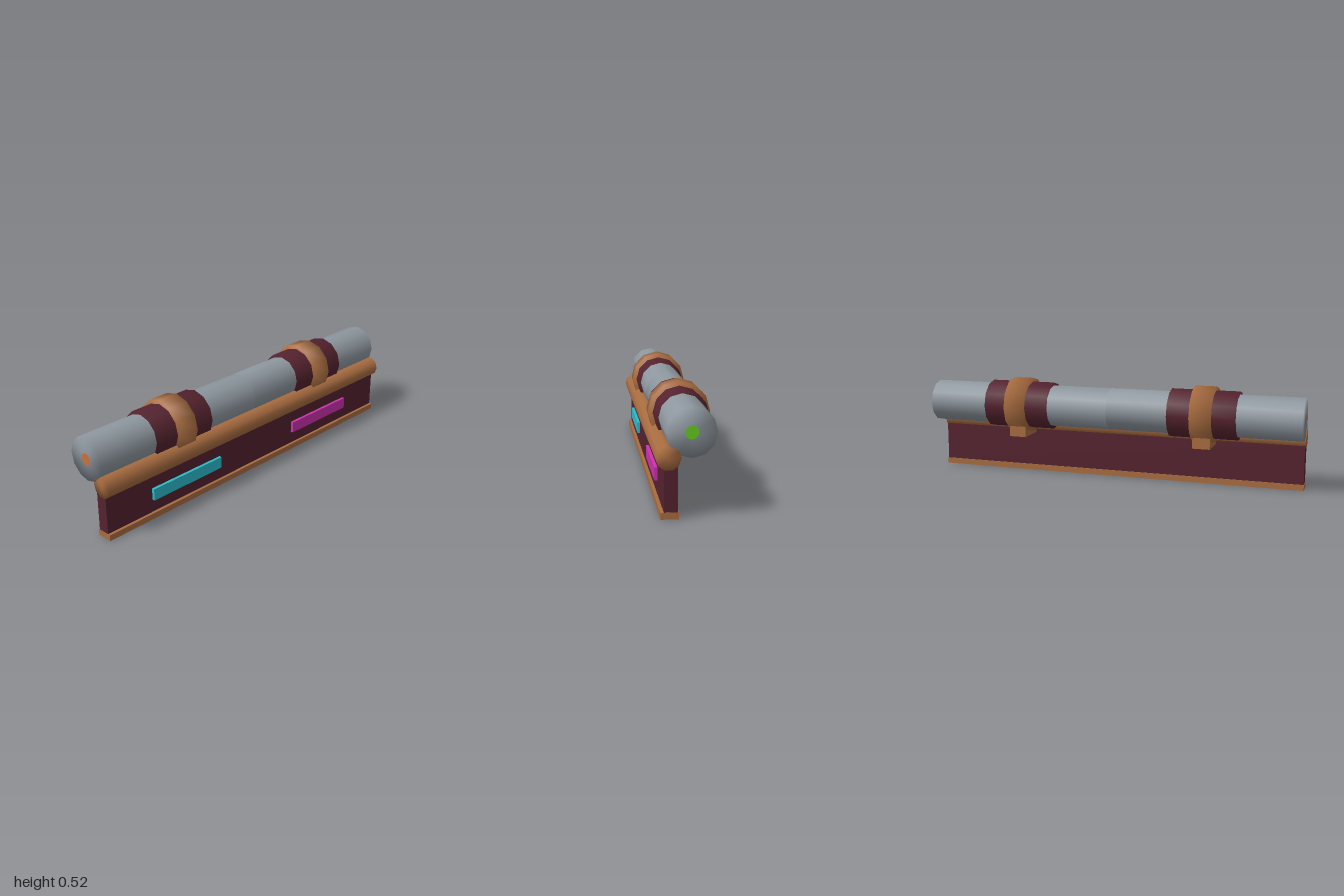
import * as THREE from 'three';
import { mergeVertices } from 'three/addons/utils/BufferGeometryUtils.js';

const mat = (name, color) => {
  const m = new THREE.MeshStandardMaterial({ color });
  m.name = name;
  return m;
};

export function createModel() {
  const group = new THREE.Group();
  const steel = mat('steel grey', 0x8e979f);
  const copper = mat('copper brown', 0xa86c40);
  const maroon = mat('dark maroon', 0x54222e);
  const cyan = mat('cyan', 0x2abccc);
  const magenta = mat('magenta', 0xcc32ac);
  const green = mat('green', 0x66cc22);
  const orange = mat('orange', 0xc8703a);

  const add = (name, geometry, material, x, y, z) => {
    const mesh = new THREE.Mesh(geometry, material);
    mesh.name = name;
    mesh.position.set(x, y, z);
    group.add(mesh);
  };
  const box = (name, material, w, h, d, x, y, z) =>
    add(name, new THREE.BoxGeometry(w, h, d), material, x, y, z);

  // Cylinder lying along x, with normals shared between wall and ends
  const rod = (name, material, radius, length, sides, x, y, z) => {
    let g = new THREE.CylinderGeometry(radius, radius, length, sides).rotateZ(Math.PI / 2);
    g.deleteAttribute('normal');
    g.deleteAttribute('uv');
    g = mergeVertices(g);
    g.computeVertexNormals();
    add(name, g, material, x, y, z);
  };

  const pipeY = 0.375, pipeZ = -0.004;

  // Side wall, foot strip and top rail
  box('foot', copper, 2, 0.03, 0.08, 0, 0.015, 0.09);
  box('wall', maroon, 1.996, 0.22, 0.06, 0, 0.13, 0.085);
  rod('rail', copper, 0.055, 2, 10, 0, 0.266, 0.095);

  // Each half has a pipe, sleeve, clamp band, bracket and coloured plate
  for (const s of [-1, 1]) {
    const side = s > 0 ? 'left' : 'right';
    rod(side + 'Pipe', steel, 0.11, 1, 12, s * 0.5, pipeY, pipeZ);
    rod(side + 'Sleeve', maroon, 0.125, 0.35, 12, s * 0.5, pipeY, pipeZ);
    rod(side + 'Band', copper, 0.145, 0.11, 12, s * 0.5, pipeY, pipeZ);
    box(side + 'Bracket', copper, 0.09, 0.06, 0.17, s * 0.5, 0.242, -0.01);
    box(side + 'Plate', s > 0 ? magenta : cyan, 0.45, 0.06, 0.015, s * 0.5, 0.127, 0.1225);
    // Small end marker
    const disc = new THREE.CircleGeometry(0.03, 12).rotateY(s * Math.PI / 2);
    add(side + 'EndMarker', disc, s > 0 ? green : orange, s * 1.001, pipeY, pipeZ);
  }
  return group;
}
